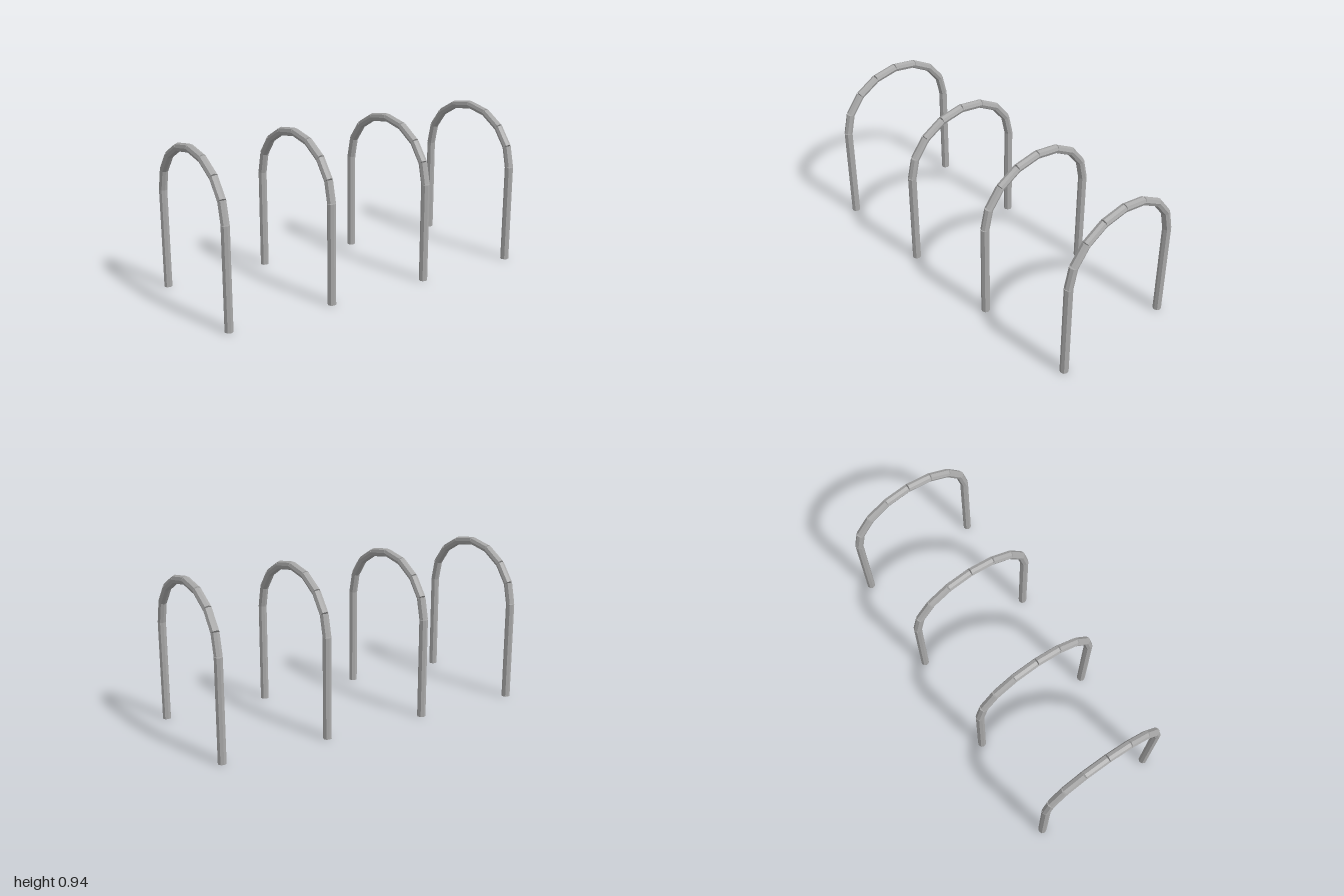
import * as THREE from 'three';

const RADIUS = 0.025, HALF_DEPTH = 0.38, POST_TOP = 0.595, RISE = 0.323, STEPS = 8;

export function createModel() {
  const model = new THREE.Group();
  model.name = 'hoopRow';
  const steel = new THREE.MeshStandardMaterial({ color: 0xaaaaaa, flatShading: true });
  steel.name = 'grey steel';

  // Straight eight-sided pipe between two points
  const pipe = (name, a, b) => {
    const dir = b.clone().sub(a);
    const mesh = new THREE.Mesh(new THREE.CylinderGeometry(RADIUS, RADIUS, dir.length(), 8), steel);
    mesh.name = name;
    mesh.position.copy(a).add(b).multiplyScalar(0.5);
    mesh.quaternion.setFromUnitVectors(new THREE.Vector3(0, 1, 0), dir.normalize());
    return mesh;
  };

  // Joints along the elliptical arch, front to back
  const joints = [];
  for (let i = 0; i <= STEPS; i++) {
    const t = (i / STEPS) * Math.PI;
    joints.push(new THREE.Vector3(0, POST_TOP + RISE * Math.sin(t), HALF_DEPTH * Math.cos(t)));
  }

  for (const x of [-0.975, -0.325, 0.325, 0.975]) {
    const hoop = new THREE.Group();
    hoop.name = 'hoop';
    // Upright posts
    for (const [name, s] of [['frontPost', 1], ['backPost', -1]]) {
      hoop.add(pipe(name, new THREE.Vector3(0, 0, s * HALF_DEPTH), new THREE.Vector3(0, POST_TOP, s * HALF_DEPTH)));
    }
    // Arch segments, cut square so the outer side stays slightly open at the joints
    for (let i = 0; i < STEPS; i++) {
      // Built upward from the nearer post so every segment keeps the same facet alignment
      const [a, b] = i < STEPS / 2 ? [joints[i], joints[i + 1]] : [joints[i + 1], joints[i]];
      hoop.add(pipe('archSegment', a, b));
    }
    hoop.position.x = x;
    model.add(hoop);
  }
  return model;
}
